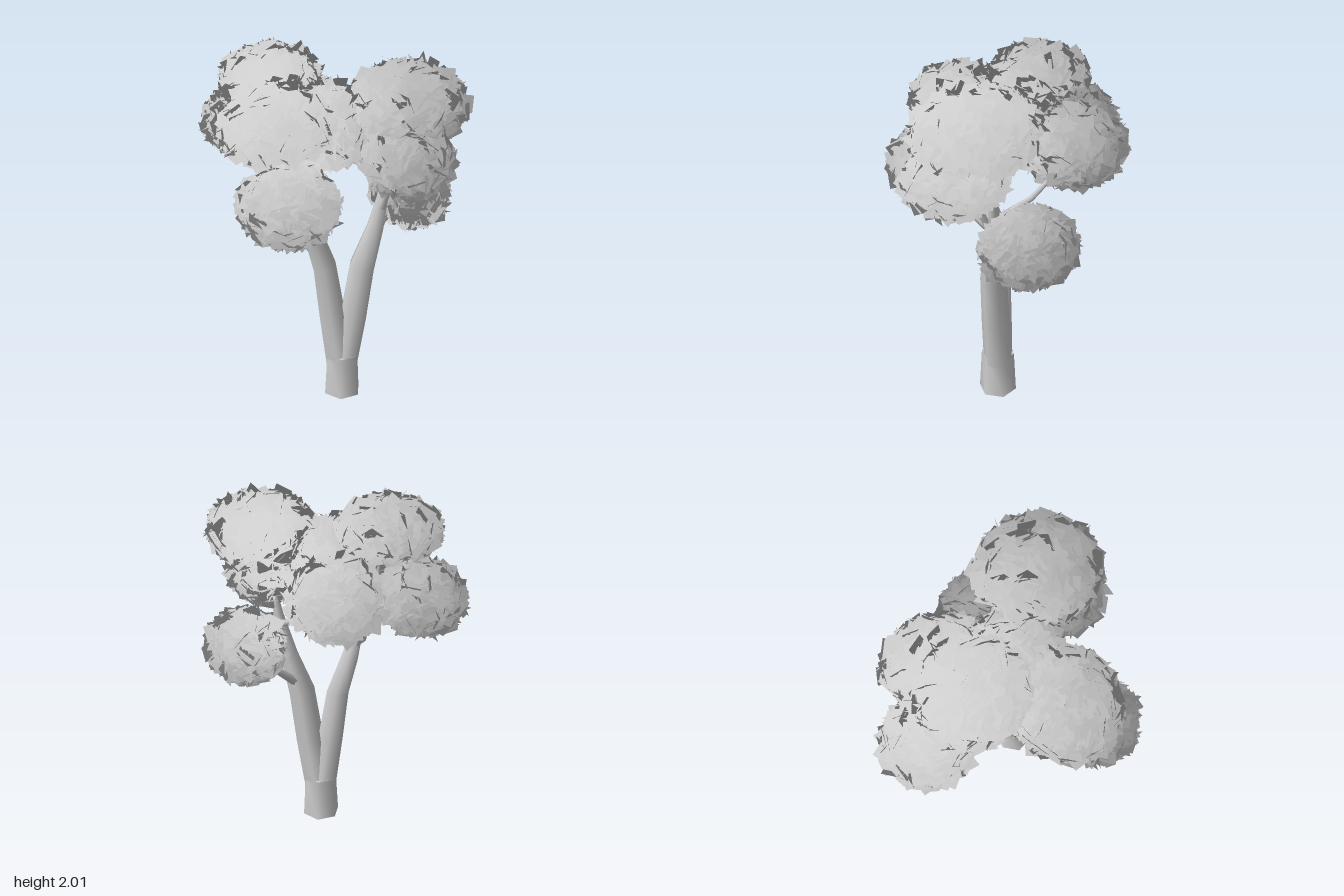
import * as THREE from 'three';

const V = (a) => new THREE.Vector3(a[0], a[1], a[2]);

// Small seeded generator so the foliage is repeatable
function seeded(seed) {
  return () => {
    seed = (seed * 1664525 + 1013904223) % 4294967296;
    return seed / 4294967296;
  };
}

// Tapered six-sided limb: one ring per point [x, y, z, radius], closed by flat caps
function limb(points) {
  const sides = 6, pos = [], index = [], last = points.length - 1;
  const ring = (i) => {
    const c = V(points[i]);
    const d = V(points[Math.min(i + 1, last)]).sub(V(points[Math.max(i - 1, 0)])).normalize();
    const u = new THREE.Vector3(0, 0, 1).addScaledVector(d, -d.z).normalize();
    const w = new THREE.Vector3().crossVectors(d, u);
    for (let s = 0; s < sides; s++) {
      const a = ((s + 0.5) / sides) * Math.PI * 2, r = points[i][3];
      const p = c.clone().addScaledVector(u, Math.cos(a) * r).addScaledVector(w, Math.sin(a) * r);
      pos.push(p.x, p.y, p.z);
    }
  };
  for (let i = 0; i <= last; i++) {
    ring(i);
    for (let s = 0; s < sides && i < last; s++) {
      const n = (s + 1) % sides, o = i * sides;
      index.push(o + s, o + n, o + sides + s, o + n, o + sides + n, o + sides + s);
    }
  }
  // Caps on their own rings, so the rims stay sharp
  ring(0);
  ring(last);
  const b = (last + 1) * sides, e = b + sides;
  for (let s = 1; s < sides - 1; s++) index.push(b, b + s + 1, b + s, e, e + s, e + s + 1);
  const g = new THREE.BufferGeometry();
  g.setAttribute('position', new THREE.Float32BufferAttribute(pos, 3));
  g.setIndex(index);
  g.computeVertexNormals();
  return g;
}

// Leaf cluster: tilted square cards scattered over an ellipsoid, shaded outward from the crown
const crown = new THREE.Vector3(0, 1.15, 0.05);
function leafCluster(centre, radii, rand) {
  const count = 480, pos = [], nor = [], index = [];
  const c = V(centre), r = V(radii), zAxis = new THREE.Vector3(0, 0, 1);
  for (let i = 0; i < count; i++) {
    const y = 1 - (2 * (i + 0.5)) / count, ring = Math.sqrt(1 - y * y), a = i * 2.39996;
    const dir = new THREE.Vector3(Math.cos(a) * ring, y, Math.sin(a) * ring);
    const p = dir.clone().multiply(r).multiplyScalar(0.87 + rand() * 0.14).add(c);
    const out = dir.clone().divide(r).normalize();
    const facing = out.clone();
    facing.x += (rand() - 0.5) * 1.7;
    facing.y += (rand() - 0.5) * 1.7;
    facing.z += (rand() - 0.5) * 1.7;
    const q = new THREE.Quaternion().setFromUnitVectors(zAxis, facing.normalize());
    const spin = rand() * Math.PI * 2, size = 0.058 + rand() * 0.01;
    const n = p.clone().sub(crown).normalize().addScaledVector(out, 0.15);
    n.addScaledVector(facing, 0.1).normalize();
    for (let k = 0; k < 4; k++) {
      const b = spin + (k * Math.PI) / 2;
      const v = new THREE.Vector3(Math.cos(b) * size, Math.sin(b) * size, 0).applyQuaternion(q).add(p);
      pos.push(v.x, v.y, v.z);
      nor.push(n.x, n.y, n.z);
    }
    const o = i * 4;
    index.push(o, o + 1, o + 2, o, o + 2, o + 3);
  }
  const g = new THREE.BufferGeometry();
  g.setAttribute('position', new THREE.Float32BufferAttribute(pos, 3));
  g.setAttribute('normal', new THREE.Float32BufferAttribute(nor, 3));
  g.setIndex(index);
  return g;
}

export function createModel() {
  const tree = new THREE.Group();
  tree.name = 'tree';
  const bark = new THREE.MeshStandardMaterial({ color: 0xcccccc });
  const leaf = new THREE.MeshStandardMaterial({ color: 0xcccccc, side: THREE.DoubleSide });
  const add = (name, geometry, material) => {
    const m = new THREE.Mesh(geometry, material);
    m.name = name;
    tree.add(m);
  };

  // Trunk base and the two main limbs growing out of it
  add('trunkBase', limb([[0.032, 0, 0.135, 0.11], [0.034, 0.25, 0.133, 0.096]]), bark);
  add('leftLimb', limb([
    [0.046, 0.2, 0.138, 0.084], [0.09, 0.5, 0.16, 0.082], [0.128, 0.8, 0.18, 0.076],
    [0.195, 1.03, 0.2, 0.05], [0.25, 1.28, 0.21, 0.027], [0.28, 1.5, 0.25, 0.012]]), bark);
  add('rightLimb', limb([
    [0.022, 0.2, 0.128, 0.086], [-0.02, 0.5, 0.11, 0.078], [-0.06, 0.8, 0.095, 0.068],
    [-0.125, 1.0, 0.085, 0.054], [-0.2, 1.2, 0.12, 0.032], [-0.32, 1.5, 0.18, 0.014]]), bark);

  // Branches reaching into each leaf cluster
  const branches = [
    [[0.17, 0.87, 0.16, 0.026], [0.31, 1.0, 0.08, 0.02], [0.45, 1.12, 0.08, 0.012]],
    [[-0.13, 0.97, 0.11, 0.03], [-0.25, 1.1, 0.24, 0.026], [-0.36, 1.25, 0.36, 0.015]],
    [[0.21, 1.1, 0.2, 0.026], [0.23, 1.28, 0.28, 0.018], [0.25, 1.42, 0.38, 0.01]],
    [[0.24, 1.22, 0.2, 0.02], [0.22, 1.3, 0.0, 0.016], [0.12, 1.45, -0.25, 0.01]],
    [[-0.18, 1.15, 0.11, 0.022], [-0.1, 1.36, 0.1, 0.016], [-0.04, 1.55, 0.1, 0.01]],
    [[-0.2, 1.2, 0.12, 0.022], [-0.22, 1.38, -0.1, 0.017], [-0.28, 1.5, -0.4, 0.01]],
    [[-0.21, 1.34, -0.04, 0.016], [-0.2, 1.55, -0.12, 0.012], [-0.22, 1.78, -0.2, 0.008]],
    [[-0.22, 1.25, 0.13, 0.018], [-0.32, 1.42, 0.3, 0.013], [-0.42, 1.62, 0.25, 0.008]],
  ];
  branches.forEach((b, i) => add(`branch${i + 1}`, limb(b), bark));

  // Leaf clusters: centre and radii
  const clusters = [
    ['frontRightUpper', [-0.38, 1.67, 0.205], [0.275, 0.18, 0.255]],
    ['frontRightLower', [-0.385, 1.31, 0.37], [0.235, 0.185, 0.235]],
    ['frontLeftUpper', [0.305, 1.735, 0.315], [0.28, 0.195, 0.305]],
    ['frontLeftLower', [0.255, 1.475, 0.41], [0.205, 0.18, 0.25]],
    ['leftLow', [0.47, 1.155, 0.095], [0.19, 0.185, 0.235]],
    ['backTop', [-0.225, 1.805, -0.2], [0.25, 0.16, 0.26]],
    ['backLeft', [0.09, 1.5, -0.29], [0.235, 0.2, 0.27]],
    ['backRight', [-0.295, 1.515, -0.45], [0.21, 0.17, 0.22]],
    ['centre', [-0.03, 1.6, 0.09], [0.215, 0.21, 0.22]],
  ];
  const rand = seeded(7);
  clusters.forEach(([name, c, r]) => add(`${name}Leaves`, leafCluster(c, r, rand), leaf));
  return tree;
}
